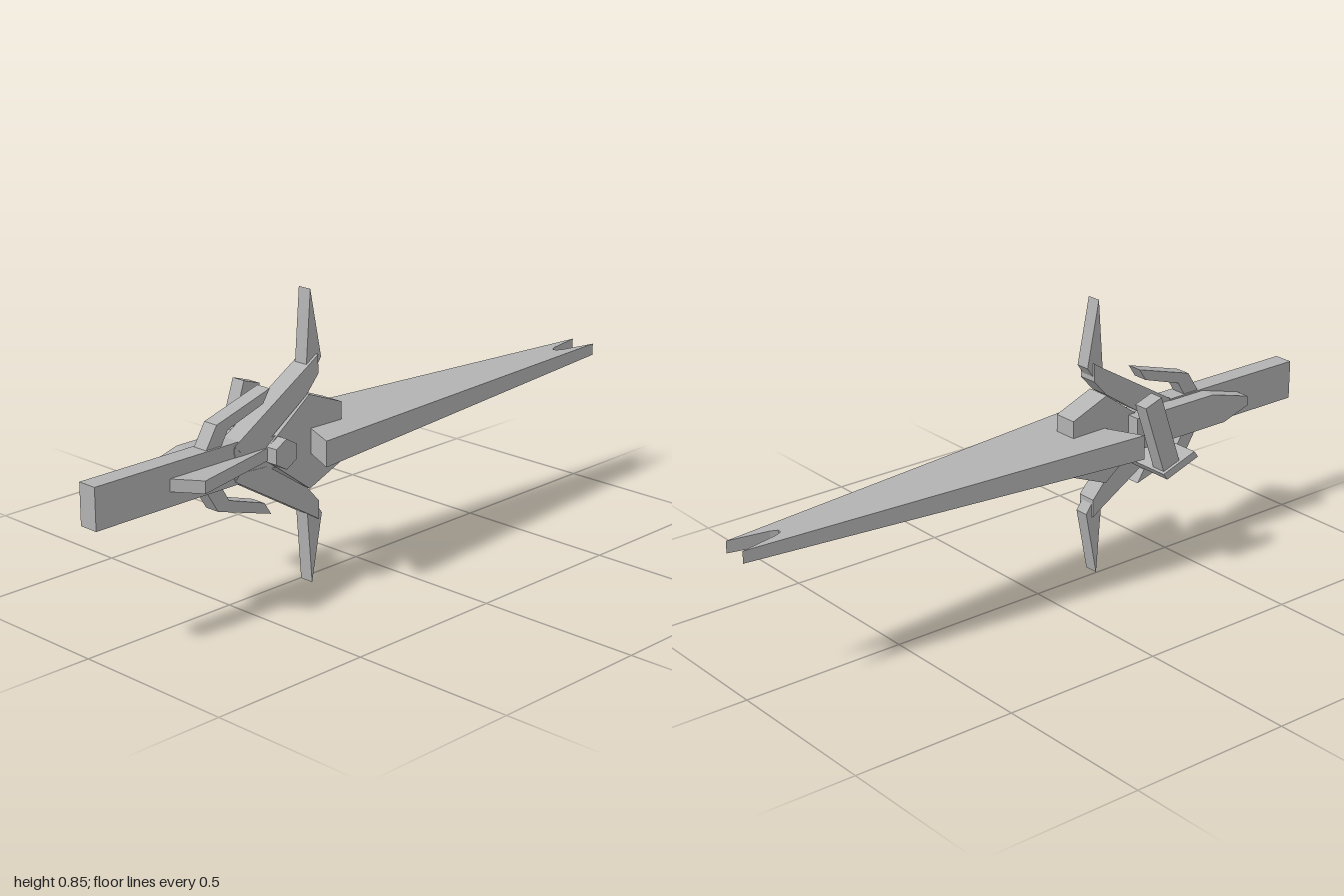
import * as THREE from 'three';

const MID = 0.43; // height of the long axis

export function createModel() {
  const group = new THREE.Group();
  const grey = new THREE.MeshStandardMaterial({ color: 0xb2b2b2 });
  grey.name = 'plain grey';

  function add(name, geometry) {
    const mesh = new THREE.Mesh(geometry, grey);
    mesh.name = name;
    group.add(mesh);
    return mesh;
  }

  // Side profile in x,y extruded from z0 to z1
  function plate(name, points, z0, z1) {
    const shape = new THREE.Shape(points.map(([x, y]) => new THREE.Vector2(x, y)));
    const geometry = new THREE.ExtrudeGeometry(shape, { depth: z1 - z0, bevelEnabled: false });
    geometry.translate(0, 0, z0);
    return add(name, geometry);
  }

  // Plan outline in x,z extruded upward around the long axis
  function slab(name, points, height) {
    const shape = new THREE.Shape(points.map(([x, z]) => new THREE.Vector2(x, -z)));
    const geometry = new THREE.ExtrudeGeometry(shape, { depth: height, bevelEnabled: false });
    geometry.rotateX(-Math.PI / 2);
    geometry.translate(0, MID - height / 2, 0);
    return add(name, geometry);
  }

  // Forked blade, thinning towards the tip
  const half = [[-0.29, 0.15], [1, 0.04], [0.88, 0.016], [0.86, 0.006]];
  const outline = [
    [-0.24, 0.04], ...half,
    ...half.slice().reverse().map(([x, z]) => [x, -z]), [-0.24, -0.04],
  ].map(([x, z]) => [x, z + 0.02]);
  const blade = slab('blade', outline, 0.075);
  const pos = blade.geometry.attributes.position;
  for (let i = 0; i < pos.count; i++) {
    const t = (pos.getX(i) + 0.29) / 1.29;
    pos.setY(i, MID + (pos.getY(i) - MID) * (1 - 0.52 * t));
  }
  blade.geometry.computeVertexNormals();

  // Handle bar
  plate('handle', [[-1, 0.37], [-0.5, 0.37], [-0.5, 0.49], [-1, 0.49]], -0.008, 0.052);

  // Guard block where the blade meets the handle
  plate('guard', [
    [-0.39, 0.4], [-0.245, 0.292], [-0.12, 0.343], [-0.12, 0.517], [-0.245, 0.566], [-0.39, 0.46],
  ], -0.014, 0.06);

  // Core joining handle and guard
  plate('core', [[-0.52, 0.385], [-0.3, 0.385], [-0.3, 0.475], [-0.52, 0.475]], -0.004, 0.054);

  // Pointed plate on the back
  plate('backPlate', [
    [-0.775, 0.415], [-0.68, 0.385], [-0.33, 0.385], [-0.33, 0.485], [-0.63, 0.485], [-0.775, 0.445],
  ], -0.054, -0.004);

  // Wedge fin on the front of the handle
  slab('frontFin', [[-0.75, 0.05], [-0.695, 0.13], [-0.395, 0.055], [-0.395, 0.03], [-0.75, 0.03]], 0.036);

  // Hexagonal knob
  const knob = new THREE.CylinderGeometry(0.044, 0.044, 0.1, 6).toNonIndexed();
  knob.computeVertexNormals();
  knob.rotateX(Math.PI / 2);
  knob.translate(-0.365, MID, 0.043);
  add('knob', knob);

  // Mirrored arms, prongs and claws above and below the axis
  for (const [side, s] of [['upper', 1], ['lower', -1]]) {
    const flip = (points) => points.map(([x, dy]) => [x, MID + s * dy]);
    plate(side + 'Arm', flip([
      [-0.52, 0.05], [-0.24, 0.218], [-0.205, 0.24], [-0.205, 0.185], [-0.25, 0.135],
      [-0.4, 0.035], [-0.5, 0.03],
    ]), -0.005, 0.055);
    plate(side + 'Prong', flip([
      [-0.243, 0.2], [-0.225, 0.427], [-0.185, 0.228], [-0.215, 0.185],
    ]), 0.002, 0.046);
    plate(side + 'Claw', flip([
      [-0.617, 0.055], [-0.575, 0.122], [-0.38, 0.18], [-0.405, 0.142], [-0.535, 0.1], [-0.562, 0.055],
    ]), -0.003, 0.045);
  }

  // Grip bracket reaching out behind, and its tilted bar
  plate('gripBracket', [
    [-0.465, 0.368], [-0.345, 0.328], [-0.33, 0.348], [-0.45, 0.388],
  ], -0.17, 0.01);
  plate('gripBar', [
    [-0.405, 0.355], [-0.345, 0.335], [-0.265, 0.565], [-0.325, 0.585],
  ], -0.16, -0.115);

  return group;
}
